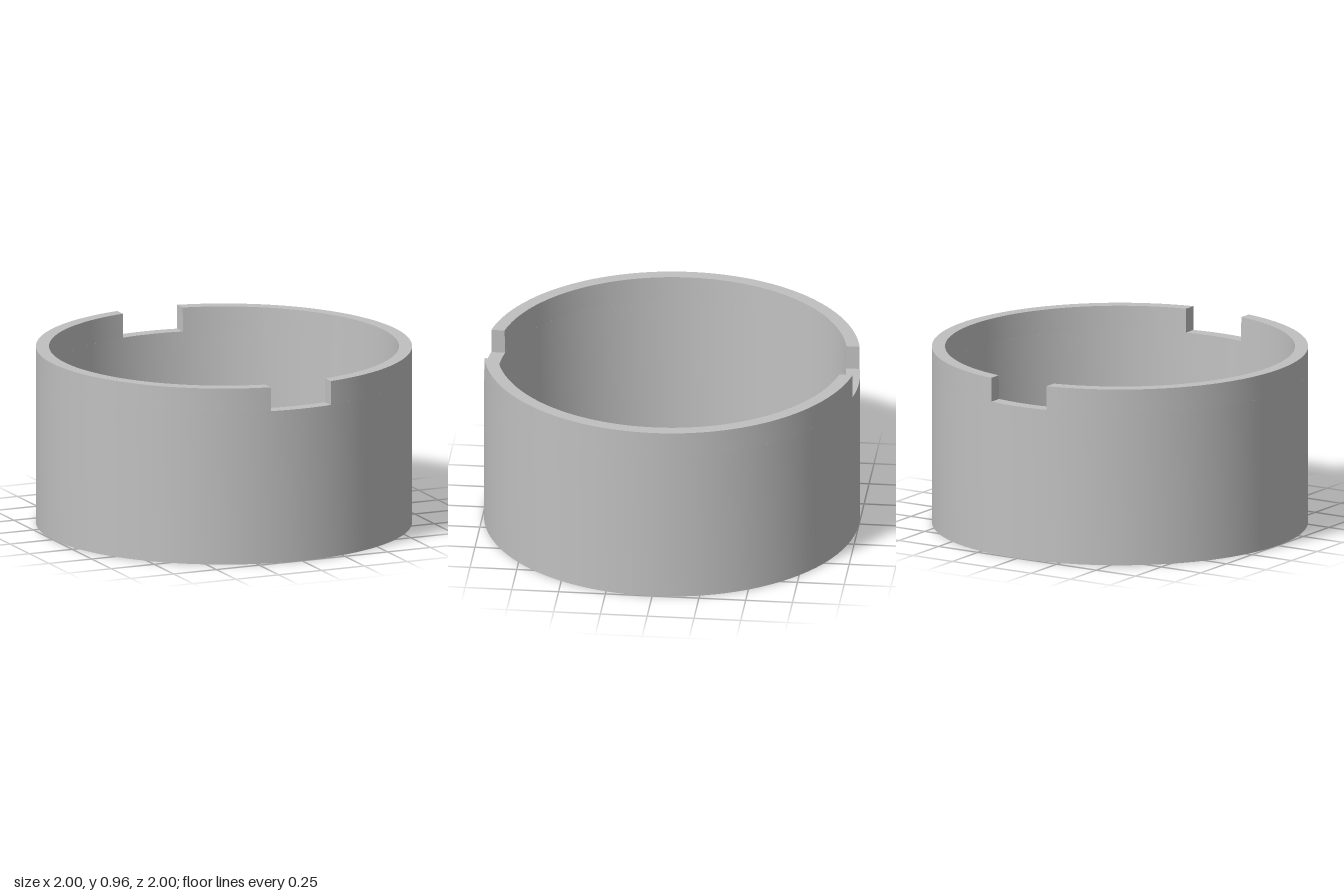
import * as THREE from 'three';
import { toCreasedNormals } from 'three/addons/utils/BufferGeometryUtils.js';

const HEIGHT = 0.96, NOTCH_Y = 0.83, NOTCH_HALF = 0.175;
const FLOOR_Y = 0.07, FLOOR_R = 0.905, RIM_R = 0.93;

// Inner wall tapers slightly from rim to floor
const innerRadius = (y) => FLOOR_R + (RIM_R - FLOOR_R) * (y - FLOOR_Y) / (HEIGHT - FLOOR_Y);

export function createModel() {
  const model = new THREE.Group();
  model.name = 'notchedCup';
  const grey = new THREE.MeshStandardMaterial({ color: 0xc0c0c0 });
  grey.name = 'grey';

  // Cup body up to the notch ledge, with a shallow round recess in the floor
  const profile = [
    [0, 0], [1, 0], [1, NOTCH_Y], [innerRadius(NOTCH_Y), NOTCH_Y],
    [FLOOR_R, FLOOR_Y], [0.785, FLOOR_Y], [0.785, 0.05], [0, 0.05],
  ].map(([r, y]) => new THREE.Vector2(r, y));
  const body = new THREE.Mesh(toCreasedNormals(new THREE.LatheGeometry(profile, 128), 0.6), grey);
  body.name = 'cupBody';
  model.add(body);

  // Upper wall: one arc between the two straight-sided notches, used twice
  const outer = Math.acos(NOTCH_HALF), inner = Math.acos(NOTCH_HALF / RIM_R);
  const arc = new THREE.Shape();
  arc.absarc(0, 0, 1, -outer, outer, false);
  arc.absarc(0, 0, RIM_R, inner, -inner, true);
  arc.closePath();
  const wall = new THREE.ExtrudeGeometry(arc, {
    depth: HEIGHT - NOTCH_Y, bevelEnabled: false, curveSegments: 32,
  });
  wall.rotateX(-Math.PI / 2).translate(0, NOTCH_Y, 0);

  // Continue the taper on the lower inner edge
  const p = wall.attributes.position;
  for (let i = 0; i < p.count; i++) {
    const r = Math.hypot(p.getX(i), p.getZ(i));
    if (r > 0.96) continue;
    const x = p.getX(i), k = innerRadius(p.getY(i)) / r;
    p.setXYZ(i, x * k, p.getY(i), p.getZ(i) * k);
  }
  const rim = toCreasedNormals(wall, 0.6);
  ['leftRimWall', 'rightRimWall'].forEach((name, i) => {
    const mesh = new THREE.Mesh(rim, grey);
    mesh.name = name;
    mesh.rotation.y = i * Math.PI;
    model.add(mesh);
  });
  return model;
}
